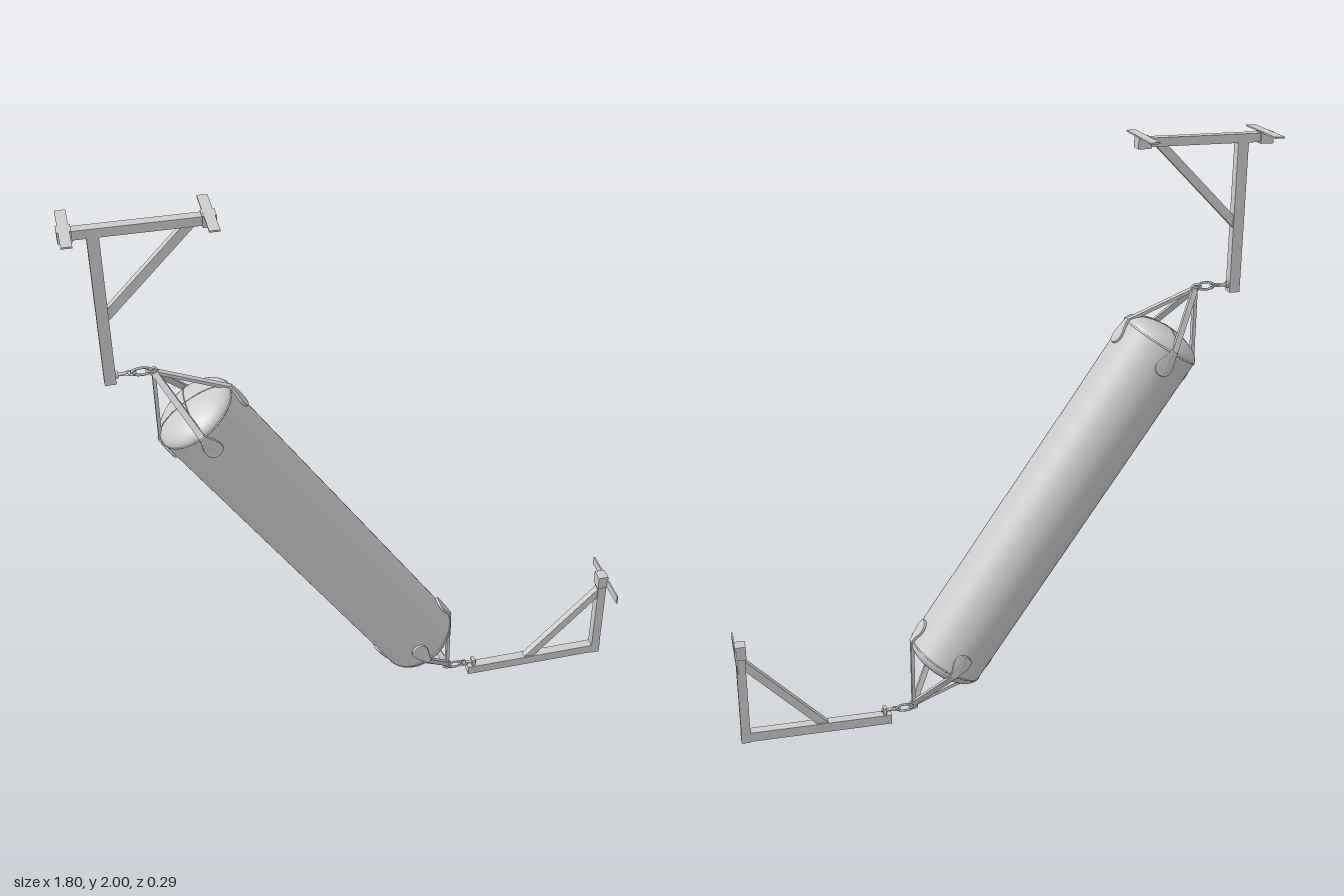
import * as THREE from 'three';

const mat = new THREE.MeshStandardMaterial({ color: 0xcccccc });
const R = 0.137, HALF = 0.657, APEX = 0.208, DOME = 0.055;

function add(parent, name, geo, x = 0, y = 0, z = 0) {
  const m = new THREE.Mesh(geo, mat);
  m.name = name;
  m.position.set(x, y, z);
  parent.add(m);
  return m;
}

// Box given by its limits in x and y, and its full depth in z
function block(parent, name, x0, x1, y0, y1, d) {
  return add(parent, name, new THREE.BoxGeometry(x1 - x0, y1 - y0, d), (x0 + x1) / 2, (y0 + y1) / 2);
}

// Square bar between two points in the xy plane
function bar(parent, name, ax, ay, bx, by, t, d) {
  const m = add(parent, name, new THREE.BoxGeometry(Math.hypot(bx - ax, by - ay), t, d), (ax + bx) / 2, (ay + by) / 2);
  m.rotation.z = Math.atan2(by - ay, bx - ax);
  return m;
}

// Oval chain link lying in the xy plane, long in x
function linkGeometry(halfLength, halfWidth, wire) {
  const pts = [];
  for (let i = 0; i < 20; i++) {
    const a = (i / 20) * Math.PI * 2;
    pts.push(new THREE.Vector3(Math.cos(a) * halfLength, Math.sin(a) * halfWidth, 0));
  }
  return new THREE.TubeGeometry(new THREE.CatmullRomCurve3(pts, true), 32, wire, 6, true);
}

// Teardrop patch wrapped around the side of the bag; its tip points up
function patchGeometry() {
  const s = new THREE.Shape();
  s.moveTo(-0.01, 0.008);
  s.lineTo(0.01, 0.008);
  s.bezierCurveTo(0.014, -0.02, 0.03, -0.035, 0.028, -0.06);
  s.bezierCurveTo(0.025, -0.092, -0.025, -0.092, -0.028, -0.06);
  s.bezierCurveTo(-0.03, -0.035, -0.014, -0.02, -0.01, 0.008);
  const g = new THREE.ExtrudeGeometry(s, {
    depth: 0.008, curveSegments: 10, bevelEnabled: true,
    bevelThickness: 0.004, bevelSize: 0.004, bevelOffset: -0.004, bevelSegments: 2,
  });
  const p = g.attributes.position;
  for (let i = 0; i < p.count; i++) {
    const a = p.getX(i) / R, r = R - 0.003 + p.getZ(i);
    p.setXYZ(i, Math.sin(a) * r, p.getY(i), Math.cos(a) * r);
  }
  g.computeVertexNormals();
  return g;
}

// One end of the bag: dome, seams, four straps with patches, and the gathering ring
function bagEnd(name) {
  const g = new THREE.Group();
  g.name = name;
  const profile = [];
  for (let i = 0; i <= 10; i++) {
    const a = (i / 10) * Math.PI / 2;
    profile.push(new THREE.Vector2(Math.cos(a) * R, Math.sin(a) * DOME));
  }
  profile[10].x = 0;
  add(g, 'dome', new THREE.LatheGeometry(profile, 48));
  const rim = add(g, 'rimSeam', new THREE.TorusGeometry(R - 0.001, 0.003, 6, 48));
  rim.rotation.x = Math.PI / 2;

  const seam = new THREE.CatmullRomCurve3(profile.map(p => new THREE.Vector3(0, p.y, p.x)));
  const seamGeo = new THREE.TubeGeometry(seam, 16, 0.002, 5);
  const patchGeo = patchGeometry();
  const reach = R + 0.003, length = Math.hypot(reach, APEX);
  for (let i = 0; i < 4; i++) {
    const side = new THREE.Group();
    side.name = 'strapSide';
    side.rotation.y = i * Math.PI / 2;
    add(side, 'patch', patchGeo);
    add(side, 'domeSeam', seamGeo);
    const strap = add(side, 'strap', new THREE.BoxGeometry(0.02, length, 0.011), 0, APEX / 2, reach / 2);
    strap.rotation.x = -Math.atan2(reach, APEX);
    g.add(side);
  }
  add(g, 'gatheringRing', new THREE.TorusGeometry(0.012, 0.004, 8, 20), 0, APEX, 0);
  return g;
}

// Chain running from a bracket (x = 0) toward +x to the gathering ring
function chain(name) {
  const g = new THREE.Group();
  g.name = name;
  const bolt = add(g, 'bolt', new THREE.CylinderGeometry(0.006, 0.006, 0.04, 10), 0.016);
  bolt.rotation.z = Math.PI / 2;
  const nut = add(g, 'nut', new THREE.CylinderGeometry(0.012, 0.012, 0.008, 6), 0.004);
  nut.rotation.z = Math.PI / 2;
  const eye = add(g, 'eye', linkGeometry(0.015, 0.011, 0.0035), 0.045);
  eye.rotation.x = Math.PI / 2;
  add(g, 'link', linkGeometry(0.03, 0.012, 0.004), 0.078);
  const small = add(g, 'smallLink', linkGeometry(0.014, 0.01, 0.0035), 0.108);
  small.rotation.x = Math.PI / 2;
  return g;
}

export function createModel() {
  const model = new THREE.Group();
  model.name = 'hangingBag';

  // Slanted bag
  const bag = new THREE.Group();
  bag.name = 'bag';
  bag.position.set(-0.1875, 0.78, 0);
  bag.rotation.z = THREE.MathUtils.degToRad(34);
  add(bag, 'body', new THREE.CylinderGeometry(R, R, HALF * 2, 48, 1, true));
  const top = bagEnd('topEnd'), bottom = bagEnd('bottomEnd');
  top.position.y = HALF;
  bottom.position.y = -HALF;
  bottom.rotation.z = Math.PI;
  bag.add(top, bottom);
  model.add(bag);

  // Ceiling bracket
  const upper = new THREE.Group();
  upper.name = 'ceilingBracket';
  block(upper, 'post', -0.82, -0.785, 1.478, 1.975, 0.034);
  block(upper, 'beam', -0.89, -0.46, 1.968, 1.996, 0.034);
  bar(upper, 'brace', -0.8, 1.7, -0.52, 1.982, 0.028, 0.024);
  for (const x of [-0.88, -0.472]) {
    block(upper, 'collar', x - 0.021, x + 0.021, 1.963, 1.999, 0.044);
    block(upper, 'mountingPlate', x - 0.016, x + 0.016, 1.995, 2, 0.232);
  }
  model.add(upper);

  // Floor bracket
  const lower = new THREE.Group();
  lower.name = 'floorBracket';
  block(lower, 'beam', 0.376, 0.896, 0.003, 0.037, 0.034);
  block(lower, 'post', 0.864, 0.895, 0, 0.36, 0.034);
  bar(lower, 'brace', 0.6, 0.02, 0.876, 0.305, 0.028, 0.024);
  block(lower, 'collar', 0.86, 0.896, 0.325, 0.374, 0.044);
  block(lower, 'mountingPlate', 0.893, 0.898, 0.328, 0.36, 0.232);
  block(lower, 'eyePlate', 0.392, 0.404, 0.035, 0.062, 0.024);
  model.add(lower);

  // Chains joining the bag to both brackets
  const upperChain = chain('upperChain'), lowerChain = chain('lowerChain');
  upperChain.position.set(-0.785, 1.502, 0);
  lowerChain.position.set(0.405, 0.05, 0);
  lowerChain.rotation.z = Math.PI;
  model.add(upperChain, lowerChain);
  return model;
}
